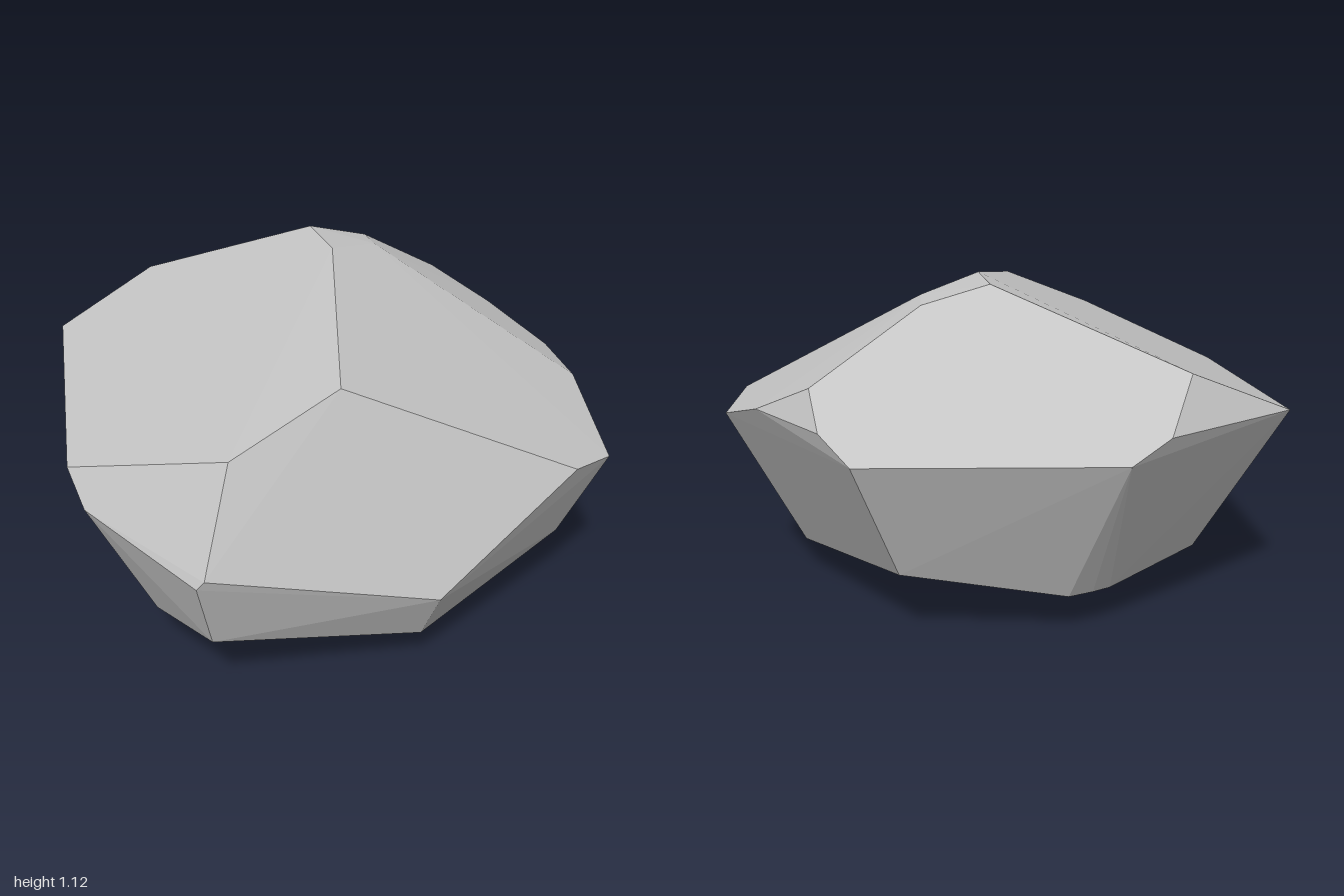
import * as THREE from 'three';
import { ConvexGeometry } from 'three/addons/geometries/ConvexGeometry.js';

// Corner points of the faceted boulder, grouped by height
const crown = [
  [0.12, 1.12, -0.09], [0.17, 1.12, -0.37], [0.36, 1.07, -0.2], [0.4, 1.06, -0.35],
  [-0.28, 0.99, 0.73], [-0.65, 0.84, 0.74], [-0.33, 0.887, -0.84], [0.79, 0.84, -0.45],
];
const girdle = [
  [-1, 0.66, 0.24], [-0.99, 0.57, 0.37], [-0.8, 0.5, 0.83], [-0.78, 0.53, 0.845],
  [-0.06, 0.325, 0.99], [0.48, 0.625, 0.935], [0.695, 0.575, 0.845], [0.89, 0.655, 0.395],
  [1, 0.64, 0.085], [0.93, 0.73, -0.23], [0.79, 0.73, -0.58], [0.72, 0.65, -0.7],
  [-0.06, 0.66, -0.99], [-0.2, 0.73, -0.97], [-0.73, 0.72, -0.78],
];
const base = [
  [-0.06, 0.13, 0.89], [0.595, 0.245, 0.735], [0.74, 0.13, 0.09], [0.55, 0.235, -0.58],
  [0.02, 0.14, -0.72], [-0.07, 0.14, -0.71], [-0.14, 0.137, -0.69], [-0.5, 0.2, -0.59],
  [-0.65, 0.07, 0.12], [-0.8, 0.18, 0.44], [-0.73, 0.235, 0.755],
  [-0.58, 0.043, 0.11], [0.45, 0.045, 0.09], [-0.06, 0, 0.45],
];

export function createModel() {
  const stone = new THREE.MeshStandardMaterial({ color: 0xc5c5c5 });
  stone.name = 'pale stone grey';

  // Flat facets come from the convex hull of the corners
  const points = [...crown, ...girdle, ...base].map((p) => new THREE.Vector3(...p));
  const boulder = new THREE.Mesh(new ConvexGeometry(points), stone);
  boulder.name = 'boulder';

  const group = new THREE.Group();
  group.name = 'rock';
  group.add(boulder);
  return group;
}
